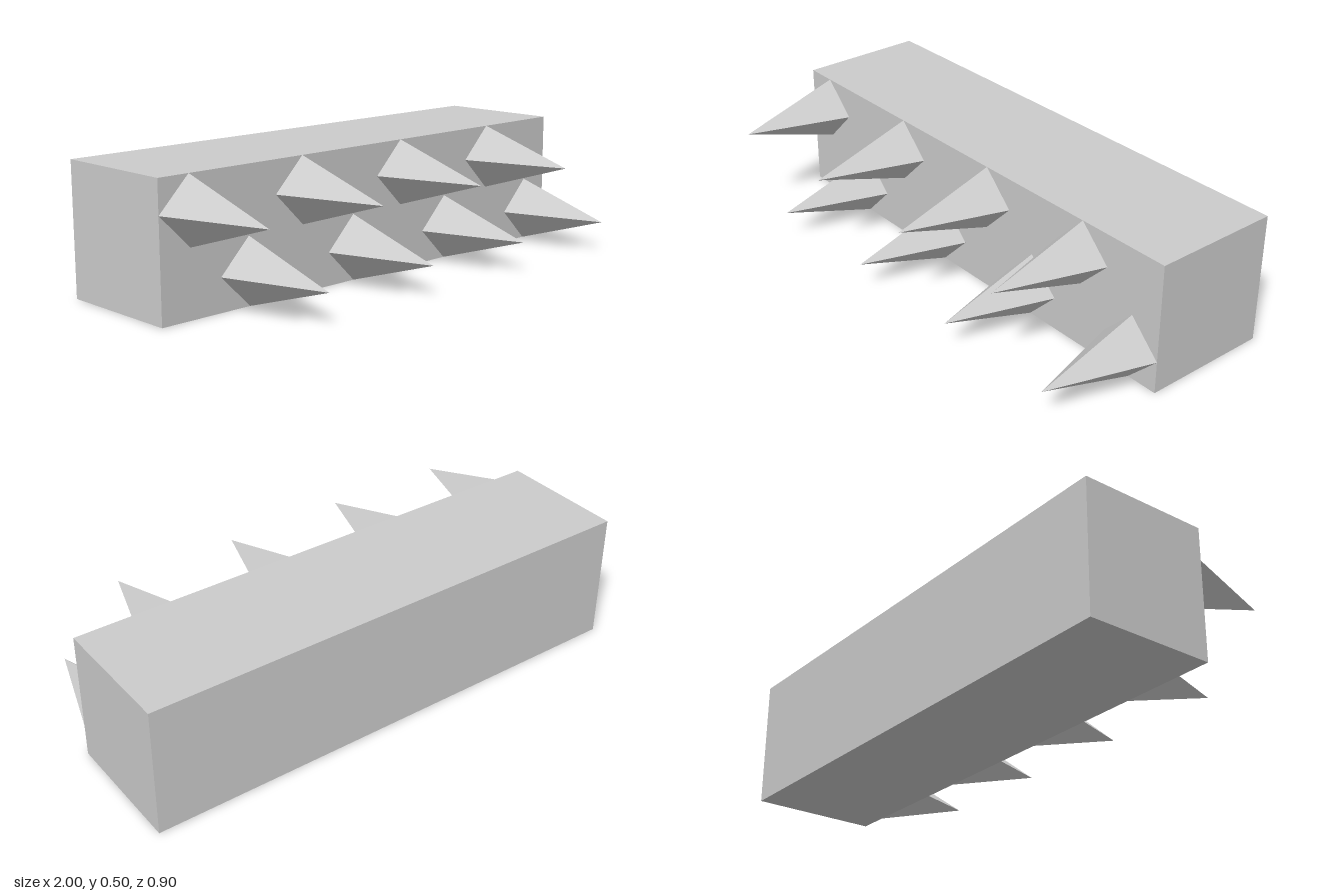
import * as THREE from 'three';

export function createModel() {
  const group = new THREE.Group();
  const material = new THREE.MeshStandardMaterial({ color: 0xcccccc, flatShading: true });

  // Solid beam
  const beam = new THREE.Mesh(new THREE.BoxGeometry(2, 0.5, 0.5), material);
  beam.name = 'beam';
  beam.position.set(0, 0.25, -0.2);
  group.add(beam);

  // Four-sided spike pointing forward, its base at z = 0
  const spikeGeometry = new THREE.ConeGeometry(0.125, 0.4, 4, 1, true)
    .translate(0, 0.2, 0)
    .rotateX(Math.PI / 2);

  // Two staggered rows of spikes on the front face
  const spikes = new THREE.Group();
  spikes.name = 'spikes';
  for (let i = 0; i < 8; i++) {
    const upper = i % 2 === 0;
    const spike = new THREE.Mesh(spikeGeometry, material);
    spike.name = upper ? 'upperSpike' : 'lowerSpike';
    spike.position.set(-0.875 + i * 0.25, upper ? 0.375 : 0.125, 0.05);
    spikes.add(spike);
  }
  group.add(spikes);

  return group;
}
